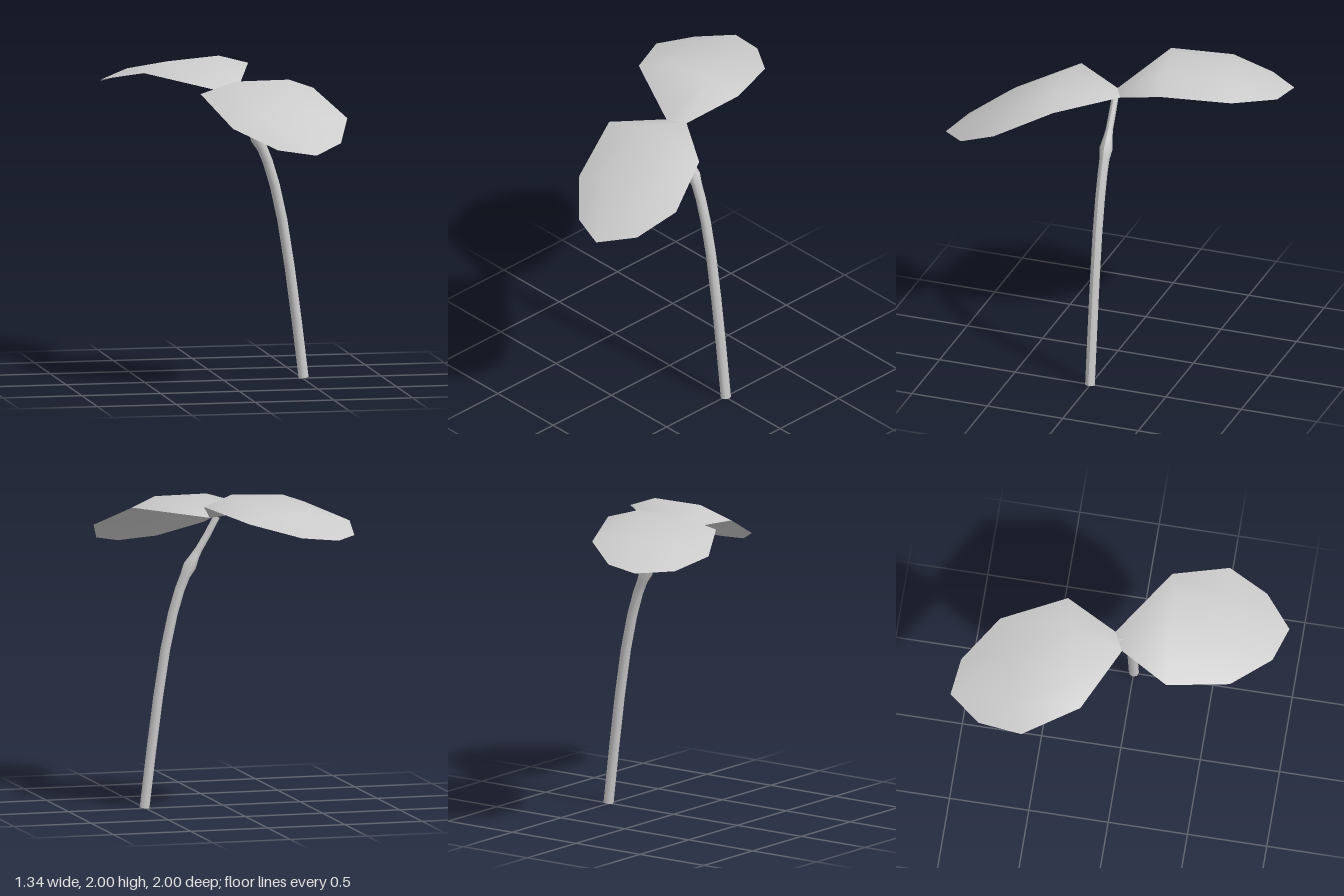
import * as THREE from 'three';

// Surface through rows of [x, y, z] points; neighbouring rows may differ in length
function loft(rows) {
  const starts = [];
  let count = 0;
  for (const row of rows) { starts.push(count); count += row.length; }
  const index = [];
  for (let r = 0; r < rows.length - 1; r++) {
    const a = starts[r], b = starts[r + 1];
    const na = rows[r].length - 1, nb = rows[r + 1].length - 1;
    let i = 0, j = 0;
    while (i < na || j < nb) {
      const stepA = j === nb || (i < na && (i + 0.5) / na < (j + 0.5) / nb);
      if (stepA) { index.push(a + i, a + i + 1, b + j); i++; }
      else { index.push(a + i, b + j + 1, b + j); j++; }
    }
  }
  const geo = new THREE.BufferGeometry();
  geo.setAttribute('position', new THREE.Float32BufferAttribute(rows.flat(2), 3));
  geo.setIndex(index);
  geo.computeVertexNormals();
  return geo;
}

export function createModel() {
  const group = new THREE.Group();
  const material = new THREE.MeshStandardMaterial({ color: 0xcccccc, side: THREE.DoubleSide });
  const add = (name, geometry) => {
    const mesh = new THREE.Mesh(geometry, material);
    mesh.name = name;
    group.add(mesh);
  };

  // Leaves: rows run from the base, over the fold, to the tip
  const baseA = [-0.02, 1.82, 0.01], baseB = [0.1, 1.82, -0.05];
  add('backLeaf', loft([
    [baseA, baseB],
    [[-0.47, 1.92, -0.18], [-0.31, 1.98, -0.25], [0.03, 2.0, -0.3], [0.23, 1.94, -0.37]],
    [[-0.67, 1.84, -0.52], [-0.49, 1.89, -0.62], [-0.2, 1.915, -0.69], [0.05, 1.88, -0.77]],
    [[-0.62, 1.79, -0.8], [-0.46, 1.79, -1.0], [-0.23, 1.81, -0.97]],
  ]));
  add('frontLeaf', loft([
    [baseB, baseA],
    [[0.52, 1.86, 0.24], [0.36, 1.92, 0.28], [0.02, 1.92, 0.3], [-0.21, 1.85, 0.32]],
    [[0.67, 1.71, 0.58], [0.44, 1.765, 0.63], [0.12, 1.75, 0.68], [-0.08, 1.68, 0.7]],
    [[0.58, 1.59, 0.83], [0.39, 1.54, 1.0], [0.16, 1.57, 0.93]],
  ]));

  // Stem: [x, y, radius] stations with a swollen node below the thin tip
  const stations = [
    [0.508, 0.005, 0.032], [0.465, 0.36, 0.032], [0.42, 0.7, 0.032], [0.373, 1.0, 0.032],
    [0.325, 1.22, 0.032], [0.28, 1.37, 0.032], [0.245, 1.455, 0.033], [0.215, 1.515, 0.043],
    [0.18, 1.58, 0.029], [0.155, 1.62, 0.024], [0.1, 1.71, 0.023], [0.04, 1.82, 0.022],
  ];
  const sides = 8;
  const rings = stations.map(([x, y, r], k) => {
    const p = stations[Math.max(k - 1, 0)], n = stations[Math.min(k + 1, stations.length - 1)];
    const len = Math.hypot(n[0] - p[0], n[1] - p[1]);
    const tx = (n[0] - p[0]) / len, ty = (n[1] - p[1]) / len;
    return Array.from({ length: sides + 1 }, (_, s) => {
      const a = -(s / sides) * Math.PI * 2;
      const c = Math.cos(a) * r;
      return [x + c * ty, y - c * tx, Math.sin(a) * r];
    });
  });
  add('stem', loft(rings));

  // Flat ends of the stem
  const cap = (ring, [x, y]) => loft([ring.map(() => [x, y, 0]), ring]);
  add('stemBottom', cap(rings[0].slice().reverse(), stations[0]));
  add('stemTop', cap(rings[rings.length - 1], stations[stations.length - 1]));

  return group;
}
